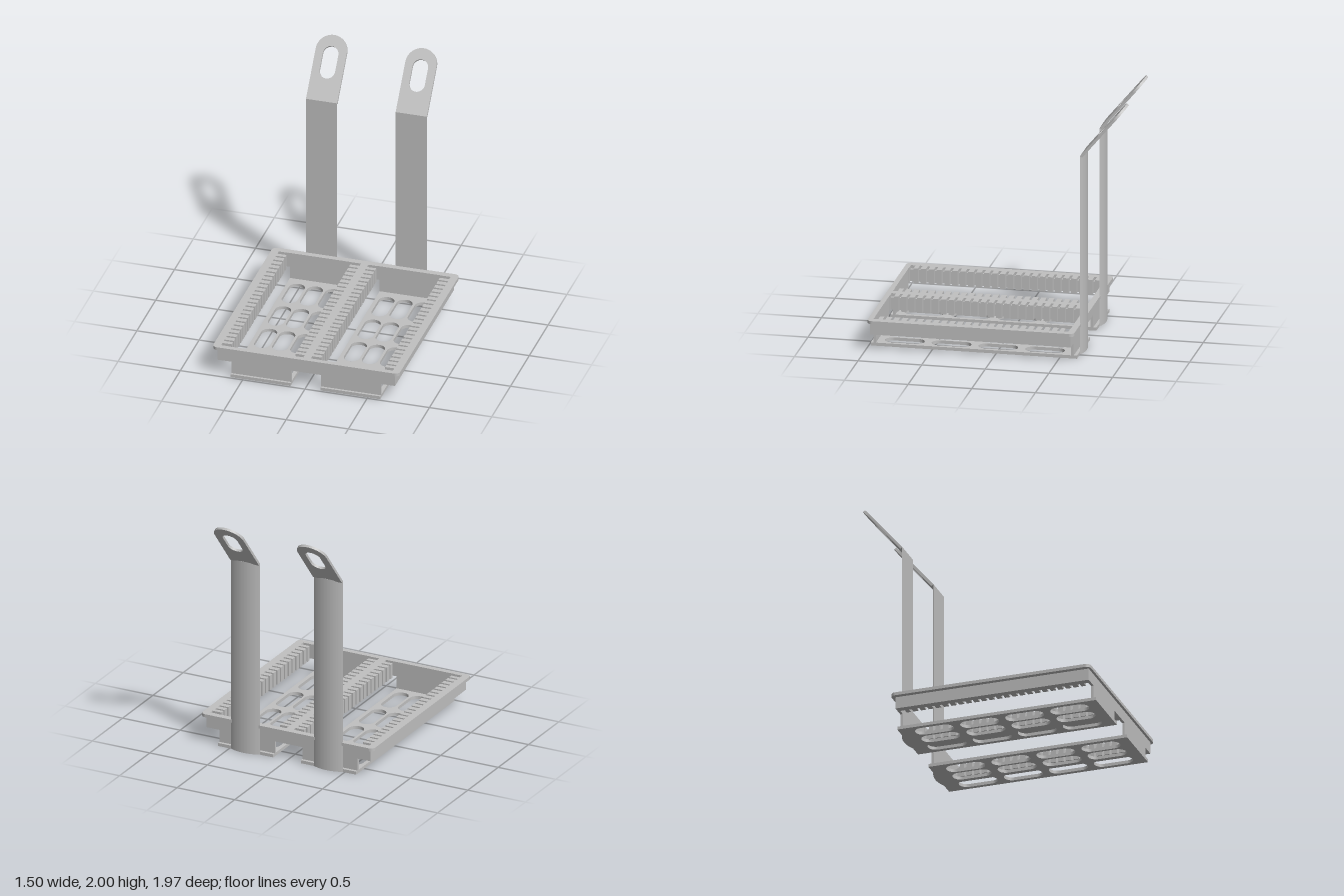
import * as THREE from 'three';

const steel = new THREE.MeshStandardMaterial({ color: 0xc0c0c0 });
steel.name = 'plain steel';

const TRAY_X = 0.36;          // centre of each tray bay
const Z_BACK = -0.59, Z_FRONT = 0.945;
const SLOTS = 25;

function roundedRect(target, x0, y0, x1, y1, r) {
  target.moveTo(x0 + r, y0);
  target.lineTo(x1 - r, y0);
  target.absarc(x1 - r, y0 + r, r, -Math.PI / 2, 0);
  target.lineTo(x1, y1 - r);
  target.absarc(x1 - r, y1 - r, r, 0, Math.PI / 2);
  target.lineTo(x0 + r, y1);
  target.absarc(x0 + r, y1 - r, r, Math.PI / 2, Math.PI);
  target.lineTo(x0, y0 + r);
  target.absarc(x0 + r, y0 + r, r, Math.PI, Math.PI * 1.5);
  return target;
}

function rect(x0, y0, x1, y1) {
  return new THREE.Shape([[x0, y0], [x1, y0], [x1, y1], [x0, y1]].map(p => new THREE.Vector2(...p)));
}

// Bay opening whose two long sides are cut by a row of comb slots
function combOpening(cx, depth) {
  const half = 0.255, side = [];
  side.push([half, Z_BACK]);
  for (let i = 0; i < SLOTS; i++) {
    const z = -0.57 + i * (1.495 / (SLOTS - 1));
    const h = i === 0 || i === SLOTS - 1 ? 0.018 : 0.01;
    side.push([half, z - h], [half + depth, z - h], [half + depth, z + h], [half, z + h]);
  }
  side.push([half, Z_FRONT]);
  const pts = side.map(([x, z]) => new THREE.Vector2(cx + x, z));
  side.reverse().forEach(([x, z]) => pts.push(new THREE.Vector2(cx - x, z)));
  return new THREE.Path(pts);
}

// Horizontal slab: shape drawn in x and z, lying between y0 and y1
function slab(name, shape, y0, y1) {
  const geo = new THREE.ExtrudeGeometry(shape, { depth: y1 - y0, bevelEnabled: false, curveSegments: 10 });
  geo.rotateX(Math.PI / 2).translate(0, y1, 0);
  const mesh = new THREE.Mesh(geo, steel);
  mesh.name = name;
  return mesh;
}

function box(name, x0, x1, y0, y1, z0, z1) {
  const mesh = new THREE.Mesh(new THREE.BoxGeometry(x1 - x0, y1 - y0, z1 - z0), steel);
  mesh.position.set((x0 + x1) / 2, (y0 + y1) / 2, (z0 + z1) / 2);
  mesh.name = name;
  return mesh;
}

// Bottom plate with a grid of long round-ended holes
function bottomPlate(cx) {
  const shape = rect(cx - 0.24, -0.635, cx + 0.24, 0.985);
  for (const dx of [-0.145, 0, 0.145]) {
    for (const z of [-0.365, 0.003, 0.37, 0.737]) {
      shape.holes.push(roundedRect(new THREE.Path(),
        cx + dx - 0.0625, z - 0.155, cx + dx + 0.0625, z + 0.155, 0.0624));
    }
  }
  return slab('bottomPlate', shape, 0, 0.025);
}

// Upright strap with a flat front and bowed back, topped by a tilted hanging tab
function hanger(cx) {
  const group = new THREE.Group();
  group.name = 'hanger';
  group.position.set(cx, 0, -0.635);

  const w = 0.125, sag = 0.028;
  const radius = (w * w + sag * sag) / (2 * sag), a = Math.asin(w / radius);
  const section = new THREE.Shape();
  section.absarc(0, radius - sag, radius, -Math.PI / 2 - a, -Math.PI / 2 + a, false);
  section.closePath();
  group.add(slab('upright', section, 0, 1.6));

  const tab = new THREE.Shape();
  tab.moveTo(-w, 0);
  tab.lineTo(w, 0);
  tab.lineTo(w, 0.4);
  tab.absarc(0, 0.4, w, 0, Math.PI);
  tab.closePath();
  tab.holes.push(roundedRect(new THREE.Path(), -0.0625, 0.18, 0.0625, 0.435, 0.0624));
  const geo = new THREE.ExtrudeGeometry(tab, { depth: 0.02, bevelEnabled: false, curveSegments: 20 });
  geo.translate(0, 0, -0.02);
  const mesh = new THREE.Mesh(geo, steel);
  mesh.name = 'hangingTab';
  mesh.position.y = 1.6;
  mesh.rotation.x = -THREE.MathUtils.degToRad(40);
  group.add(mesh);
  return group;
}

export function createModel() {
  const model = new THREE.Group();
  model.name = 'hangingRack';

  // Top rim and the frame below it share the comb openings
  const rim = roundedRect(new THREE.Shape(), -0.75, -0.64, 0.75, 0.985, 0.04);
  const frame = rect(-0.713, -0.61, 0.713, 0.965);
  for (const s of [-1, 1]) {
    rim.holes.push(combOpening(s * TRAY_X, 0.075));
    frame.holes.push(combOpening(s * TRAY_X, 0.045));
  }
  model.add(slab('rim', rim, 0.22, 0.245), slab('combFrame', frame, 0.125, 0.22));

  // Each bay: end panels, perforated bottom and hanger
  for (const s of [-1, 1]) {
    const cx = s * TRAY_X;
    model.add(
      box('frontPanel', cx - 0.24, cx + 0.24, 0.025, 0.125, 0.945, 0.965),
      box('backPanel', cx - 0.24, cx + 0.24, 0.025, 0.125, -0.61, -0.59),
      bottomPlate(cx),
      hanger(cx));
  }
  return model;
}
